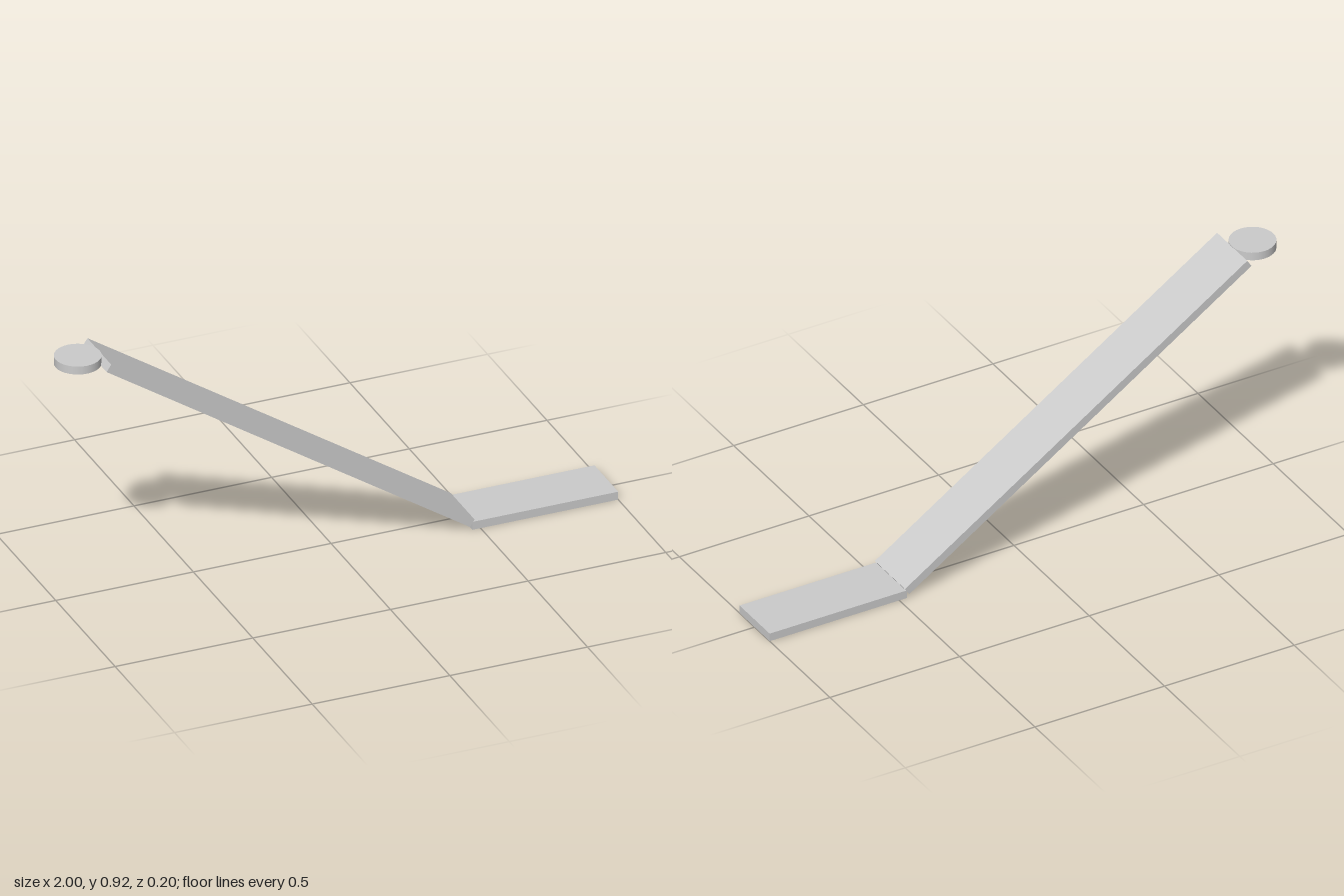
import * as THREE from 'three';

export function createModel() {
  const group = new THREE.Group();
  const material = new THREE.MeshStandardMaterial({ color: 0xcccccc });
  const thickness = 0.03, width = 0.2;

  const add = (name, geometry, x, y) => {
    const mesh = new THREE.Mesh(geometry, material);
    mesh.name = name;
    mesh.position.set(x, y, 0);
    group.add(mesh);
    return mesh;
  };

  // Flat plate resting on the ground
  add('basePlate', new THREE.BoxGeometry(0.53, thickness, width), 0.735, thickness / 2);

  // Sloping strip between the base plate and the disc
  const low = new THREE.Vector2(0.47, 0.025), high = new THREE.Vector2(-0.85, 0.9);
  const strip = add('slopedStrip', new THREE.BoxGeometry(low.distanceTo(high), thickness, width),
    (low.x + high.x) / 2, (low.y + high.y) / 2);
  strip.rotation.z = Math.atan2(low.y - high.y, low.x - high.x);

  // Round disc at the upper end
  add('topDisc', new THREE.CylinderGeometry(0.08, 0.08, thickness, 32), -0.92, 0.9);

  return group;
}
